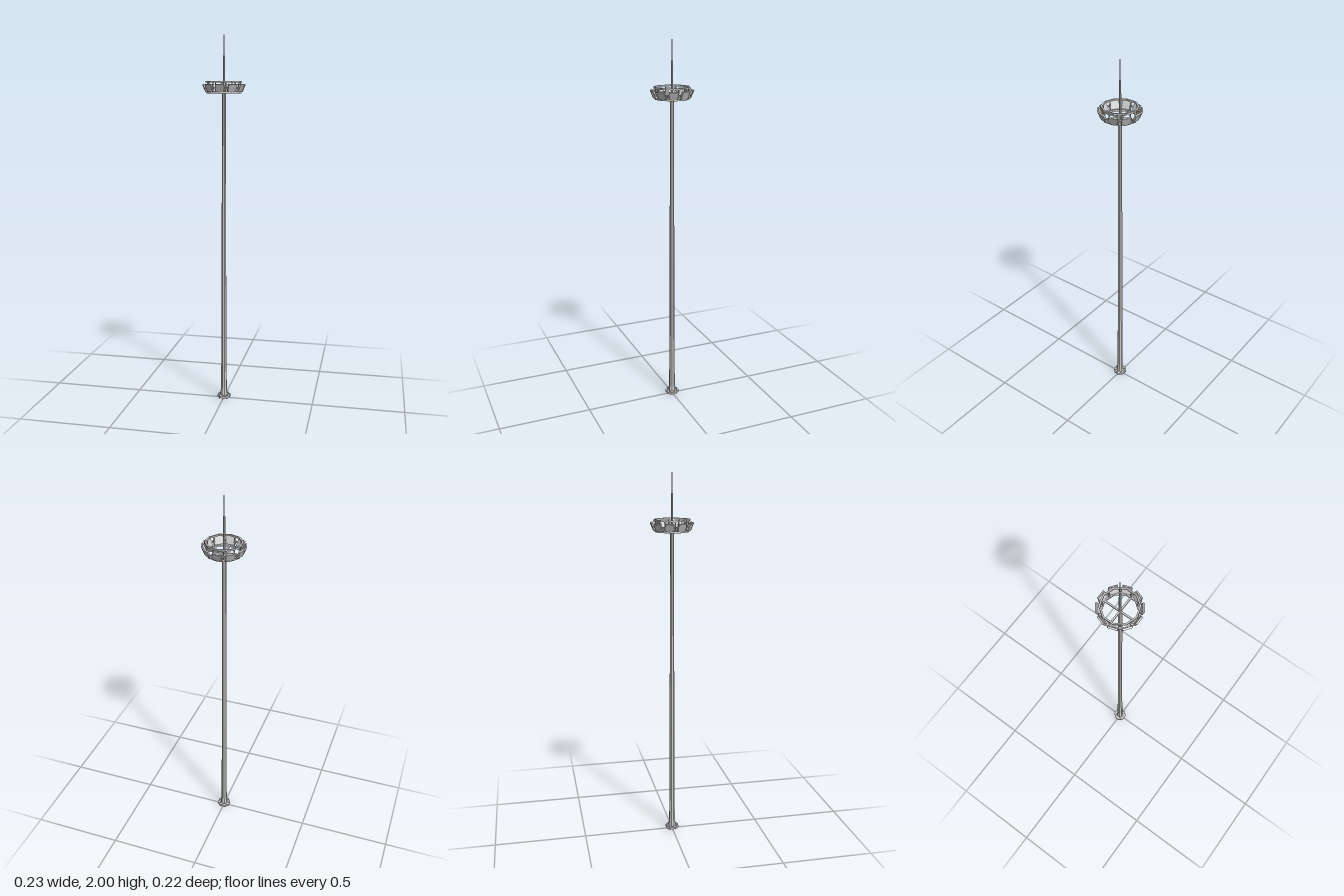
import * as THREE from 'three';

const material = new THREE.MeshStandardMaterial({ color: 0xcccccc, flatShading: true, side: THREE.DoubleSide });

function add(parent, name, geometry, x = 0, y = 0, z = 0) {
  const mesh = new THREE.Mesh(geometry, material);
  mesh.name = name;
  mesh.position.set(x, y, z);
  parent.add(mesh);
  return mesh;
}

const box = (w, h, d) => new THREE.BoxGeometry(w, h, d);

// Upright tapered tube between two heights
function shaft(parent, name, y0, y1, r0, r1, sides = 8) {
  const geometry = new THREE.CylinderGeometry(r1, r0, y1 - y0, sides, 1, false, Math.PI / sides);
  return add(parent, name, geometry, 0, (y0 + y1) / 2, 0);
}

// Ten-sided flat hoop
function hoop(parent, name, inner, outer, y0, y1) {
  const profile = [[inner, y0], [outer, y0], [outer, y1], [inner, y1], [inner, y0]]
    .map(([r, y]) => new THREE.Vector2(r, y));
  return add(parent, name, new THREE.LatheGeometry(profile, 10), 0, 0, 0);
}

// Group turned about the mast, its local +z pointing outward
function spoke(parent, name, angle) {
  const group = new THREE.Group();
  group.name = name;
  group.rotation.y = angle;
  parent.add(group);
  return group;
}

export function createModel() {
  const model = new THREE.Group();
  model.name = 'floodlightMast';

  // Footing
  shaft(model, 'basePlate', 0.007, 0.018, 0.038, 0.038);
  shaft(model, 'baseCollar', 0.018, 0.065, 0.021, 0.0165);
  for (let i = 0; i < 8; i++) {
    const foot = spoke(model, 'anchor', (i * Math.PI) / 4);
    add(foot, 'anchorBolt', new THREE.CylinderGeometry(0.003, 0.003, 0.024, 6), 0, 0.012, 0.029);
  }

  // Tapering pole sections and the spire
  shaft(model, 'lowerPole', 0.065, 0.42, 0.0165, 0.0135);
  shaft(model, 'middlePole', 0.42, 0.95, 0.0135, 0.0125);
  shaft(model, 'upperPole', 0.95, 1.71, 0.0125, 0.0105);
  shaft(model, 'spireLower', 1.71, 1.895, 0.0065, 0.0055);
  shaft(model, 'spireTip', 1.895, 2, 0.003, 0.002);

  // Lamp carrier
  hoop(model, 'lowerRing', 0.084, 0.093, 1.7, 1.709);
  hoop(model, 'upperRing', 0.088, 0.097, 1.756, 1.764);
  add(model, 'crossArmX', box(0.174, 0.008, 0.009), 0, 1.7045, 0);
  add(model, 'crossArmZ', box(0.009, 0.008, 0.178), 0, 1.7045, 0);

  for (let i = 0; i < 10; i++) {
    // Floodlights at the ring corners, leaning out at the top
    const lamp = spoke(model, 'floodlight', (i * Math.PI) / 5);
    const head = new THREE.Group();
    head.name = 'lampHead';
    head.position.set(0, 1.728, 0.1);
    head.rotation.x = 0.4;
    lamp.add(head);
    add(head, 'housing', box(0.046, 0.042, 0.009));
    add(head, 'lens', box(0.04, 0.036, 0.001), 0, 0, 0.0048);
    for (const side of [-1, 1]) {
      add(head, 'pivot', box(0.005, 0.007, 0.007), side * 0.0255, 0, -0.001);
    }

    // Posts joining the two rings between the lamps
    const post = spoke(model, 'ringPost', ((i + 0.5) * Math.PI) / 5);
    const bar = add(post, 'postBar', box(0.005, 0.056, 0.005), 0, 1.732, 0.086);
    bar.rotation.x = 0.06;
    add(post, 'lampBracket', box(0.012, 0.006, 0.014), 0, 1.728, 0.093);
  }

  return model;
}
